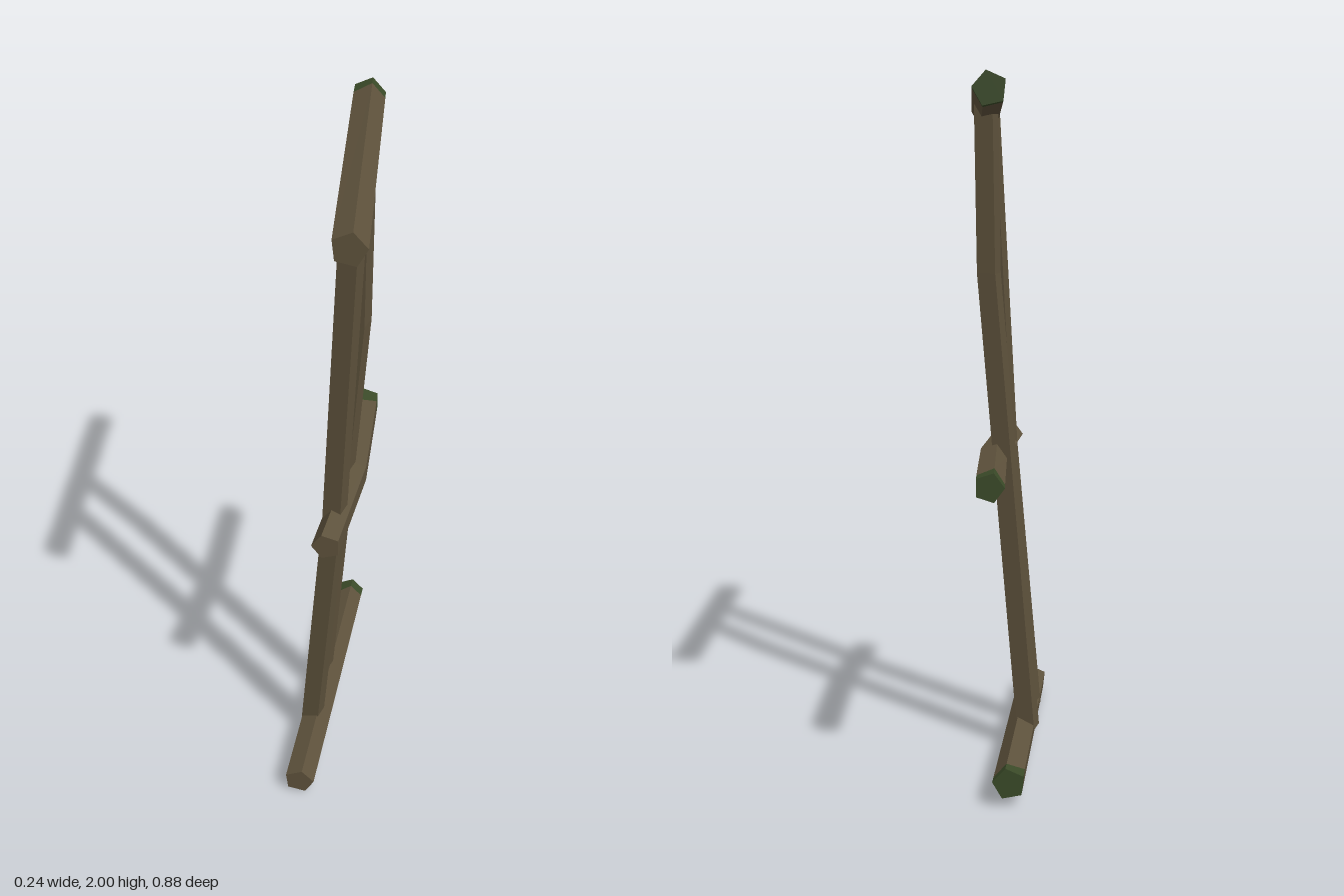
import * as THREE from 'three';

// Prism swept through rings [u, v, w, jag], w rising; `axes` turns (u, v, w) into (x, y, z).
// Group 0 is the first segment with its cap, group 1 is the rest.
function sweep(rings, sides, radius, turn, axes) {
  const pts = rings.map(([u, v, w, jag = 0]) => {
    const ring = [];
    for (let j = 0; j < sides; j++) {
      const a = turn + (j / sides) * Math.PI * 2;
      ring.push(axes(u + radius * Math.cos(a), v + radius * Math.sin(a), w + (j % 2 ? jag : -jag)));
    }
    return ring;
  });
  const pos = [];
  const tri = (a, b, c) => pos.push(...a, ...b, ...c);
  const cap = (r, flip) => {
    for (let j = 1; j < sides - 1; j++) flip ? tri(r[0], r[j + 1], r[j]) : tri(r[0], r[j], r[j + 1]);
  };
  cap(pts[0], true);
  let firstEnd = 0;
  for (let i = 0; i < pts.length - 1; i++) {
    for (let j = 0; j < sides; j++) {
      const k = (j + 1) % sides;
      tri(pts[i][j], pts[i][k], pts[i + 1][k]);
      tri(pts[i][j], pts[i + 1][k], pts[i + 1][j]);
    }
    if (i === 0) firstEnd = pos.length / 3;
  }
  cap(pts[pts.length - 1], false);
  const geo = new THREE.BufferGeometry();
  geo.setAttribute('position', new THREE.Float32BufferAttribute(pos, 3));
  geo.addGroup(0, firstEnd, 0);
  geo.addGroup(firstEnd, pos.length / 3 - firstEnd, 1);
  geo.computeVertexNormals();
  return geo;
}

export function createModel() {
  const group = new THREE.Group();
  const wood = new THREE.MeshStandardMaterial({ color: 0x5e523c });
  wood.name = 'wood';
  const moss = new THREE.MeshStandardMaterial({ color: 0x3a4a28 });
  moss.name = 'moss';
  const deg = Math.PI / 180;

  const add = (name, geo, mats) => {
    const mesh = new THREE.Mesh(geo, mats);
    mesh.name = name;
    group.add(mesh);
  };

  // Five-sided crossbeams running back to front, with mossy back ends
  const beam = (name, rings, radius, turn) =>
    add(name, sweep(rings, 5, radius, turn * deg, (u, v, w) => [u, v, w]), [moss, wood]);
  beam('topBeam', [[0.01, 1.956, -0.443], [0.013, 1.955, -0.395, 0.008], [0.075, 1.931, 0.44]], 0.047, 78);
  beam('bottomBeam', [[-0.04, 0.072, -0.443], [-0.042, 0.071, -0.4, 0.008], [-0.08, 0.045, 0.44]], 0.047, 78);
  beam('middleBeam', [[0.014, 0.916, -0.44], [0.016, 0.916, -0.385, 0.01],
    [0.028, 0.918, -0.04], [-0.005, 0.92, 0.32]], 0.043, 36);

  // Four-sided uprights, slightly bent (u = z, v = x, w = y)
  const pole = (name, rings) =>
    add(name, sweep(rings, 4, 0.039, 31 * deg, (u, v, w) => [v, w, u]), [wood, wood]);
  pole('frontPole', [[0.175, -0.079, 0.06], [0.175, -0.002, 0.92], [0.177, 0.052, 1.92]]);
  pole('backPole', [[-0.025, -0.079, 0.07], [-0.025, 0.039, 1.46], [-0.025, 0.046, 1.94]]);

  return group;
}
